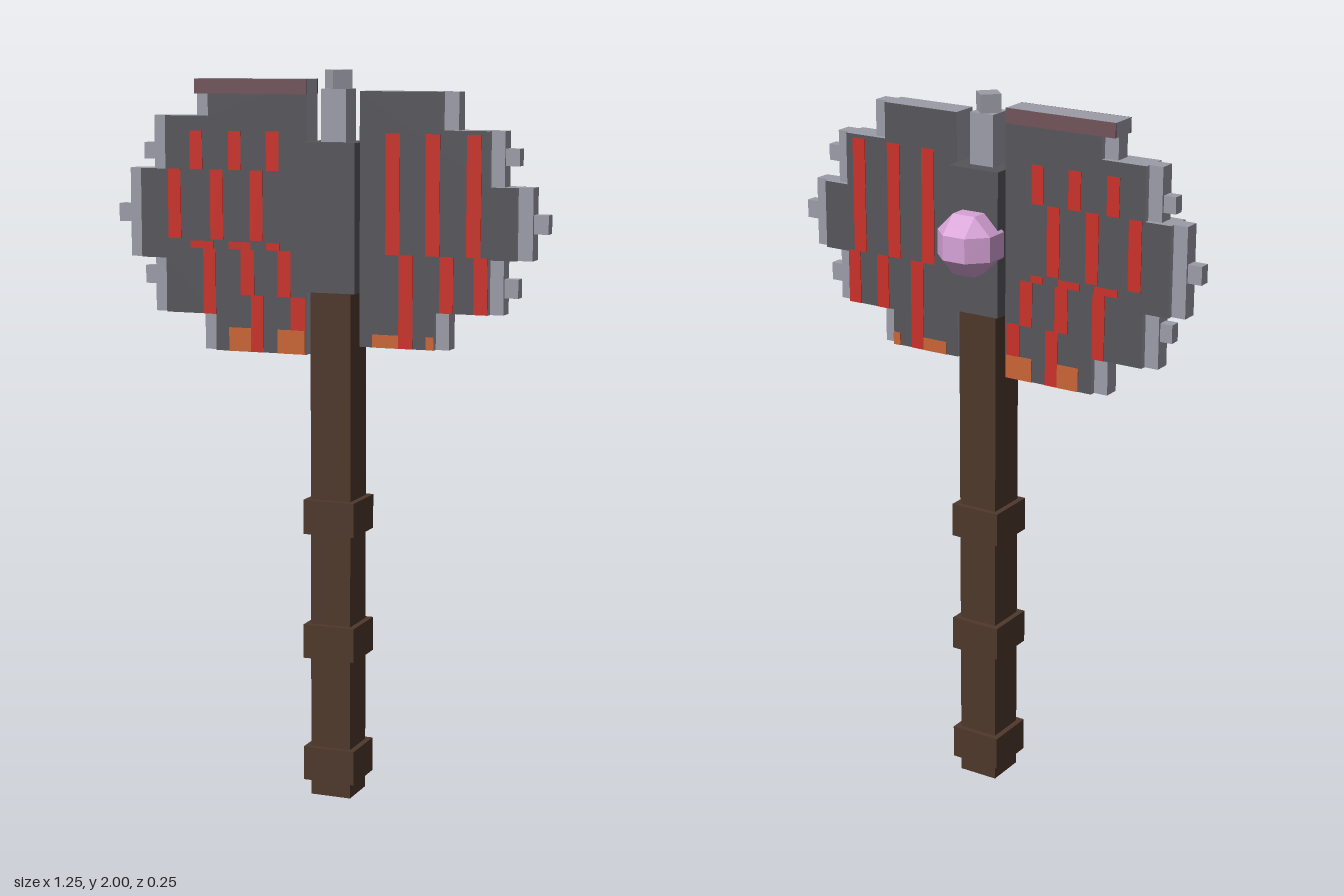
import * as THREE from 'three';
import { ConvexGeometry } from 'three/addons/geometries/ConvexGeometry.js';

const mat = (name, color) => {
  const m = new THREE.MeshStandardMaterial({ color });
  m.name = name;
  return m;
};

export function createModel() {
  const wood = mat('brown wood', 0x4e382b);
  const dark = mat('dark iron', 0x56555a);
  const steel = mat('light steel', 0x9c9ca8);
  const red = mat('red', 0xca3129);
  const orange = mat('orange', 0xca6536);
  const rust = mat('dull rust', 0x70545a);
  const violet = mat('pale violet', 0xd6a2d6);

  const model = new THREE.Group();
  const CX = 0.027, CZ = 0.048; // axis of the shaft

  const add = (parent, name, geo, material) => {
    const m = new THREE.Mesh(geo, material);
    m.name = name;
    parent.add(m);
    return m;
  };
  // box from its extents in x and y, with centre and depth in z
  const slab = (parent, name, material, [x0, x1, y0, y1], depth, z = CZ) => {
    const m = add(parent, name, new THREE.BoxGeometry(x1 - x0, y1 - y0, depth), material);
    m.position.set((x0 + x1) / 2, (y0 + y1) / 2, z);
    return m;
  };
  const post = (name, material, width, y0, y1) =>
    slab(model, name, material, [CX - width / 2, CX + width / 2, y0, y1], width);

  // shaft with three bands
  post('shaft', wood, 0.116, 0, 1.42);
  [0.045, 0.395, 0.745].forEach((y) => post('shaftBand', wood, 0.148, y, y + 0.095));

  // head block, top spike and its turned tip
  post('headBlock', dark, 0.153, 1.41, 1.81);
  post('topSpike', steel, 0.072, 1.81, 1.95);
  post('spikeTip', steel, 0.056, 1.95, 2.0).rotation.y = Math.PI / 4;

  // faceted gem on the back
  const a = 0.034, b = 0.083, pts = [];
  for (const x of [-1, 1]) for (const y of [-1, 1]) for (const z of [-1, 1]) {
    pts.push(new THREE.Vector3(x * b, y * a, z * a));
    pts.push(new THREE.Vector3(x * a, y * b, z * a));
    pts.push(new THREE.Vector3(x * a, y * a, z * b));
  }
  add(model, 'gem', new ConvexGeometry(pts), violet).position.set(CX, 1.612, -0.042);

  // blades: stepped plate, recessed steel rim, small teeth, painted marks
  const T = 0.078;
  const blade = (name, { outline, rims, teeth, reds, oranges }) => {
    const g = new THREE.Group();
    g.name = name;
    model.add(g);
    const shape = new THREE.Shape(outline.map(([x, y]) => new THREE.Vector2(x, y)));
    const geo = new THREE.ExtrudeGeometry(shape, { depth: T, bevelEnabled: false });
    geo.translate(0, 0, CZ - T / 2);
    add(g, 'bladePlate', geo, [dark, steel]);
    rims.forEach((r) => slab(g, 'bladeRim', steel, r, 0.046));
    teeth.forEach((t) => slab(g, 'bladeTooth', steel, t, 0.032));
    for (const s of [-1, 1]) {
      reds.forEach((r) => slab(g, 'redMark', red, r, 0.004, CZ + s * T / 2));
      oranges.forEach((r) => slab(g, 'orangeMark', orange, r, 0.006, CZ + s * T / 2));
    }
    return g;
  };

  const right = blade('rightBlade', {
    outline: [[-0.05, 1.975], [-0.38, 1.975], [-0.38, 1.935], [-0.34, 1.935], [-0.34, 1.875],
      [-0.47, 1.875], [-0.47, 1.73], [-0.545, 1.73], [-0.545, 1.485], [-0.47, 1.485],
      [-0.47, 1.335], [-0.32, 1.335], [-0.32, 1.235], [-0.05, 1.235]],
    rims: [[-0.38, -0.34, 1.875, 1.935], [-0.51, -0.47, 1.73, 1.875], [-0.51, -0.47, 1.335, 1.485],
      [-0.585, -0.545, 1.485, 1.73], [-0.36, -0.32, 1.235, 1.335]],
    teeth: [[-0.545, -0.51, 1.755, 1.8], [-0.545, -0.51, 1.41, 1.46], [-0.625, -0.585, 1.58, 1.63]],
    reds: [
      ...[-0.395, -0.28, -0.168].map((x) => [x, x + 0.037, 1.73, 1.835]),
      ...[-0.462, -0.335, -0.217].map((x) => [x, x + 0.038, 1.54, 1.73]),
      [-0.395, -0.325, 1.515, 1.535], [-0.28, -0.215, 1.515, 1.535], [-0.168, -0.13, 1.515, 1.535],
      [-0.357, -0.32, 1.335, 1.515], [-0.245, -0.205, 1.39, 1.515], [-0.135, -0.097, 1.39, 1.515],
      [-0.215, -0.177, 1.235, 1.39], [-0.097, -0.055, 1.235, 1.39],
    ],
    oranges: [[-0.28, -0.215, 1.235, 1.3], [-0.135, -0.055, 1.235, 1.3]],
  });
  // worn strip along the top of this blade
  for (const s of [-1, 1])
    slab(right, 'topStrip', rust, [-0.38, -0.05, 1.935, 1.975], 0.004, CZ + s * T / 2);

  blade('leftBlade', {
    outline: [[0.103, 1.945], [0.103, 1.265], [0.315, 1.265], [0.315, 1.365], [0.465, 1.365],
      [0.465, 1.51], [0.54, 1.51], [0.54, 1.7], [0.465, 1.7], [0.465, 1.845],
      [0.335, 1.845], [0.335, 1.945]],
    rims: [[0.335, 0.375, 1.845, 1.945], [0.465, 0.502, 1.7, 1.845], [0.465, 0.502, 1.365, 1.51],
      [0.54, 0.58, 1.51, 1.7], [0.315, 0.352, 1.265, 1.365]],
    teeth: [[0.502, 0.54, 1.755, 1.8], [0.502, 0.54, 1.41, 1.46], [0.58, 0.62, 1.58, 1.63]],
    reds: [
      ...[0.177, 0.289, 0.403].map((x) => [x, x + 0.04, 1.515, 1.835]),
      [0.215, 0.255, 1.265, 1.515], [0.33, 0.368, 1.365, 1.515], [0.425, 0.463, 1.365, 1.515],
    ],
    oranges: [[0.14, 0.215, 1.265, 1.3], [0.293, 0.315, 1.265, 1.3]],
  });

  return model;
}
